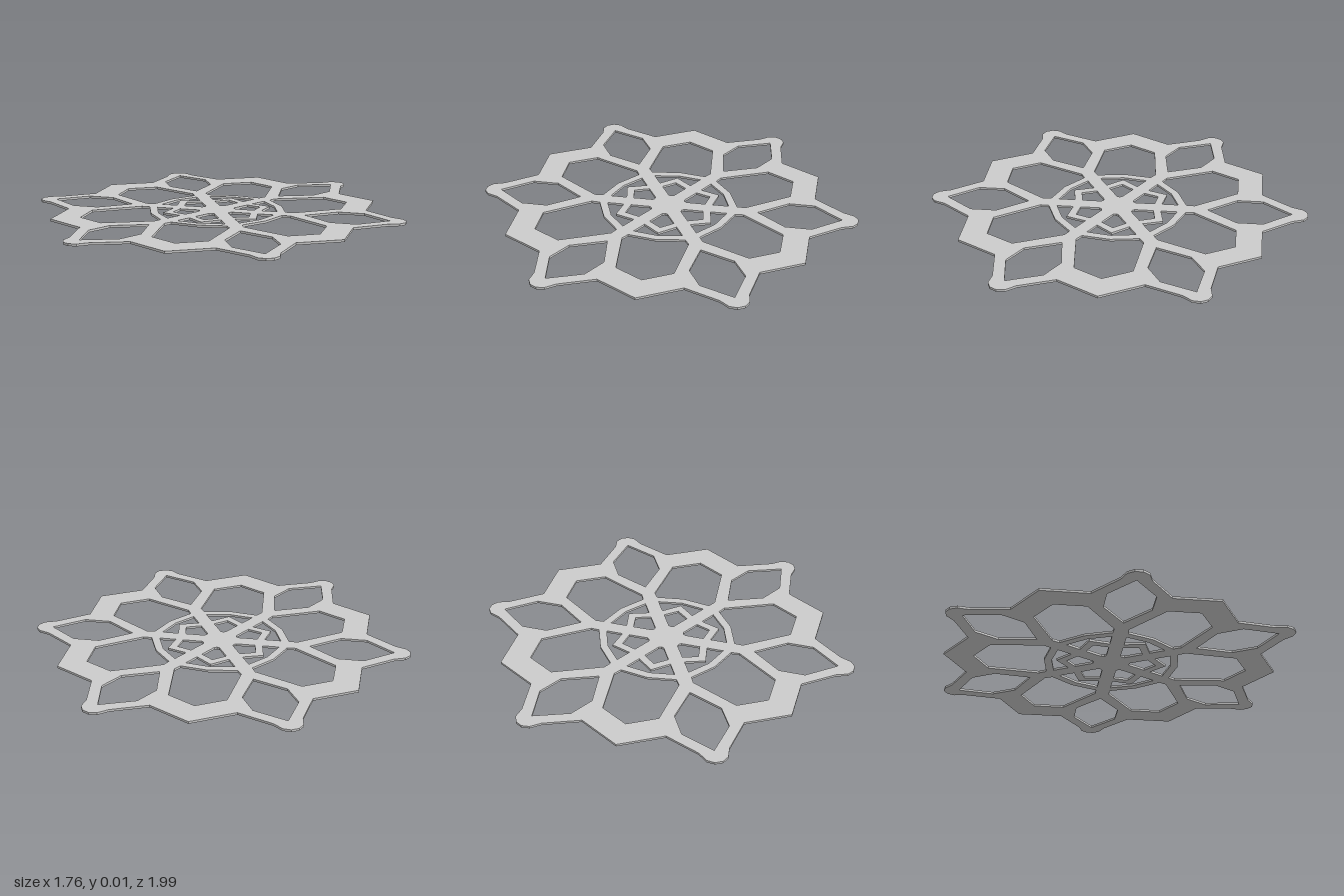
import * as THREE from 'three';

const THICKNESS = 0.012;
const SECTOR = Math.PI / 3;

const turn = ([x, y], a) => [
  x * Math.cos(a) - y * Math.sin(a),
  x * Math.sin(a) + y * Math.cos(a),
];
const toVectors = (points) => points.map(([x, y]) => new THREE.Vector2(x, y));

// Mirrors a half profile about the Y axis; points lying on the axis are kept once.
function mirrored(half) {
  const other = half.filter(([x]) => x > 0).map(([x, y]) => [-x, y]).reverse();
  return [...half, ...other];
}

// Turns a point given beside an arm (arm along +Y) so the gap's centre line lies on +Y.
const besideArm = (x, y) => {
  const [px, py] = turn([x, y], SECTOR / 2);
  return [Math.abs(px), py];
};

// Outer edge of one arm, from its right valley corner over the tip to the left side
const armEdge = [
  [0.439, 0.76], [0.195, 0.76], [0.075, 0.915], [0.053, 0.972], [0.02, 0.996],
  [-0.02, 0.996], [-0.053, 0.972], [-0.075, 0.915], [-0.195, 0.76],
];

// Diamond-like window inside each arm
const armWindow = mirrored([[0, 0.914], [0.119, 0.765], [0.119, 0.628], [0, 0.474]]);

// Windows in the gaps between arms, from the rim inwards
const gapWindows = [
  // large petal
  [[0, 0.724], besideArm(0.196, 0.627), besideArm(0.037, 0.405), besideArm(0.039, 0.361), [0, 0.355]],
  // slit between the ring and the inner star
  [[0, 0.315], besideArm(0.037, 0.318), besideArm(0.037, 0.231), [0, 0.29]],
  // star cell next to the hub
  [[0, 0.237], besideArm(0.037, 0.192), besideArm(0.037, 0.125), [0.014, 0.098], [0, 0.093]],
].map(mirrored);

export function createModel() {
  const group = new THREE.Group();
  group.name = 'snowflake';

  const outline = [];
  const holes = [];
  for (let i = 0; i < 6; i++) {
    const a = i * SECTOR;
    outline.push(...armEdge.map((p) => turn(p, a)));
    holes.push(armWindow.map((p) => turn(p, a)));
    for (const w of gapWindows) holes.push(w.map((p) => turn(p, a + SECTOR / 2)));
  }

  // Flat pierced plate, laid down on the ground
  const shape = new THREE.Shape(toVectors(outline));
  for (const h of holes) shape.holes.push(new THREE.Path(toVectors(h)));
  const geometry = new THREE.ExtrudeGeometry(shape, { depth: THICKNESS, bevelEnabled: false });
  geometry.rotateX(-Math.PI / 2);

  const plate = new THREE.Mesh(
    geometry,
    new THREE.MeshStandardMaterial({ color: 0xcccccc, flatShading: true }),
  );
  plate.name = 'piercedPlate';
  group.add(plate);
  return group;
}
